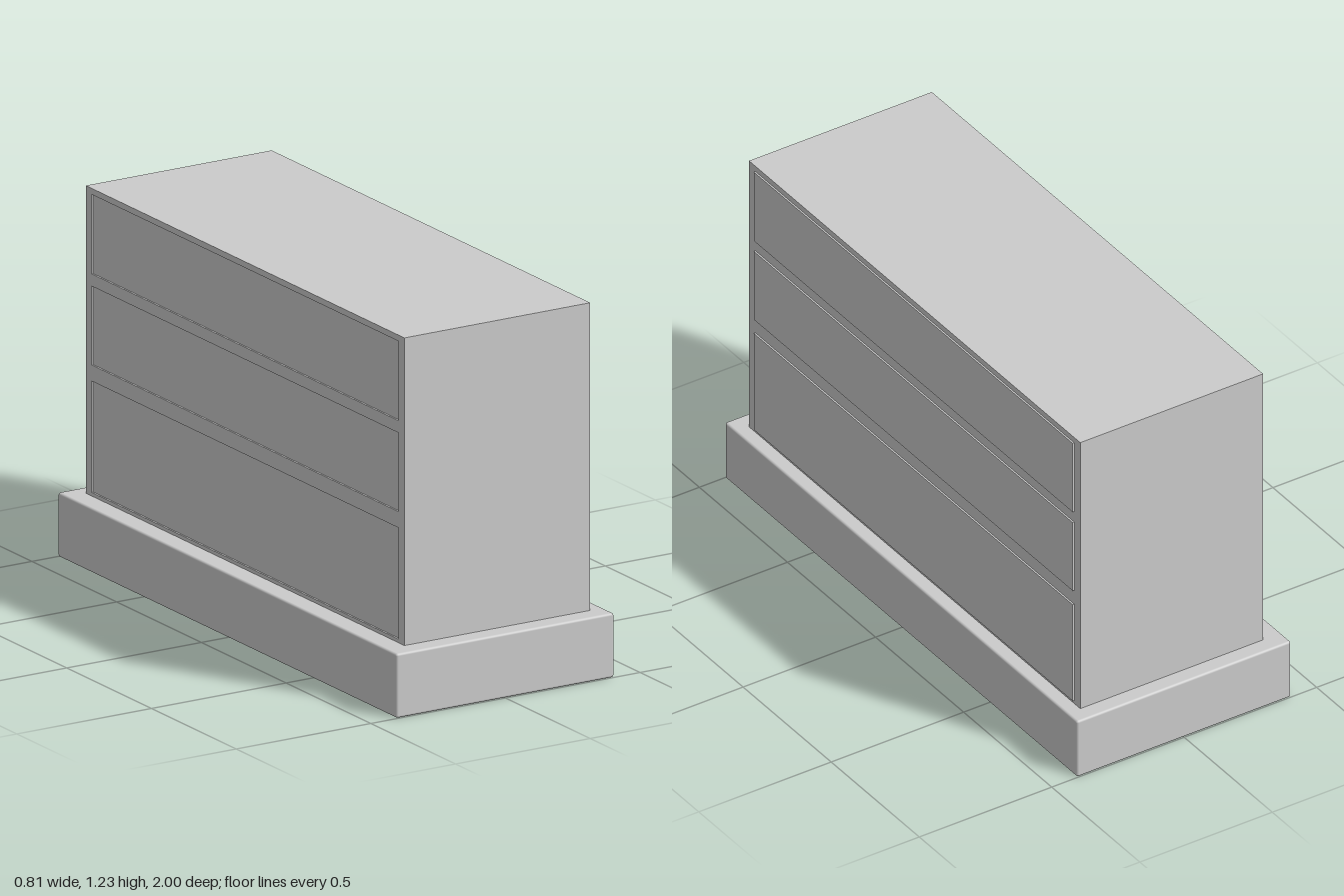
import * as THREE from 'three';
import { RoundedBoxGeometry } from 'three/addons/geometries/RoundedBoxGeometry.js';

const material = new THREE.MeshStandardMaterial({ color: 0xcccccc });

// Traces a rectangle on a Shape or Path; u runs along -z once rotated.
function rectangle(path, u0, u1, y0, y1) {
  path.moveTo(u0, y0);
  path.lineTo(u1, y0);
  path.lineTo(u1, y1);
  path.lineTo(u0, y1);
  path.closePath();
  return path;
}

export function createModel() {
  const group = new THREE.Group();
  const add = (name, geometry, x = 0, y = 0, z = 0) => {
    const mesh = new THREE.Mesh(geometry, material);
    mesh.name = name;
    mesh.position.set(x, y, z);
    group.add(mesh);
  };

  // Plinth with slightly softened edges
  const baseHeight = 0.212;
  add('base', new RoundedBoxGeometry(0.808, baseHeight, 2, 3, 0.008), 0, baseHeight / 2, 0);

  // Cabinet frame, open on both long sides for the drawers
  const back = -0.335, front = 0.355;
  const u0 = -0.9, u1 = 0.91;
  const drawers = [[0.224, 0.591], [0.644, 0.904], [0.944, 1.206]];
  const frame = rectangle(new THREE.Shape(), -0.936, 0.944, 0.205, 1.226);
  for (const [y0, y1] of drawers) frame.holes.push(rectangle(new THREE.Path(), u0, u1, y0, y1));
  const frameGeometry = new THREE.ExtrudeGeometry(frame, { depth: front - back, bevelEnabled: false });
  frameGeometry.rotateY(Math.PI / 2);
  add('cabinetFrame', frameGeometry, back);

  // Drawers stand proud at the +x side and sit recessed at the other
  const offset = 0.006;
  const names = ['lowerDrawer', 'middleDrawer', 'upperDrawer'];
  drawers.forEach(([y0, y1], i) => {
    const geometry = new THREE.BoxGeometry(front - back, y1 - y0, u1 - u0);
    add(names[i], geometry, (front + back) / 2 + offset, (y0 + y1) / 2, -(u0 + u1) / 2);
  });

  return group;
}
